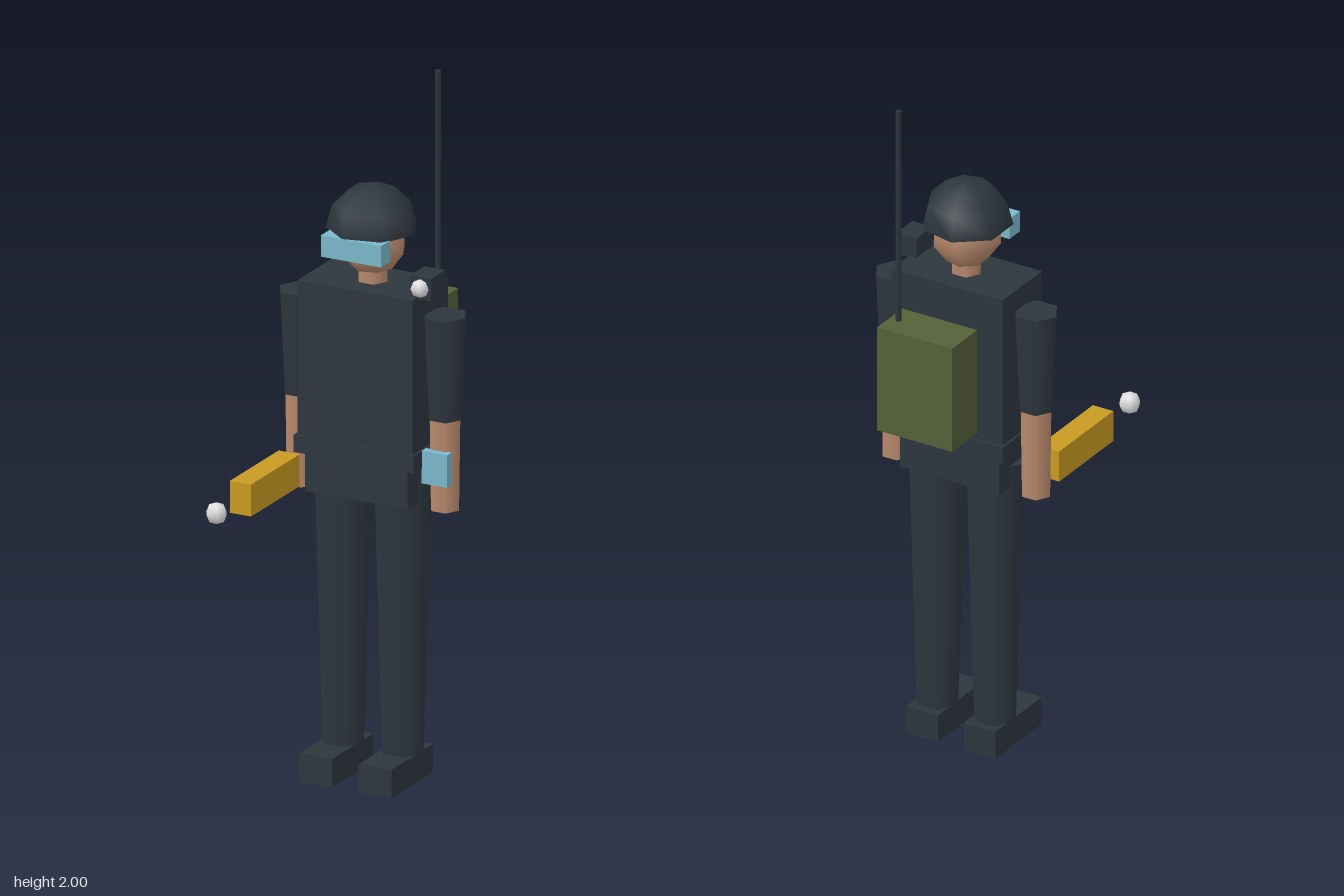
import * as THREE from 'three';

const mat = (name, color) => {
  const m = new THREE.MeshStandardMaterial();
  m.name = name;
  m.color.set(color);
  return m;
};

export function createModel() {
  const dark = mat('dark uniform', 0x2d363e);
  const skin = mat('skin', 0xb98a6c);
  const blue = mat('light blue', 0x7ab8cc);
  const olive = mat('olive', 0x556038);
  const yellow = mat('tool yellow', 0xc89a22);
  const pale = mat('pale lamp', 0xe0e0e2);
  const helmetShell = mat('helmet shell', 0x2d363e);
  helmetShell.side = THREE.DoubleSide; // open underneath

  const group = new THREE.Group();
  group.name = 'fieldOperator';
  const CZ = -0.124; // body axis

  const add = (name, geo, material, x, y, z, rotY = 0) => {
    const mesh = new THREE.Mesh(geo, material);
    mesh.name = name;
    mesh.position.set(x, y, z);
    mesh.rotation.y = rotY;
    group.add(mesh);
    return mesh;
  };
  // Box given by its ranges along each axis
  const box = (name, material, [x0, x1], [y0, y1], [z0, z1]) =>
    add(name, new THREE.BoxGeometry(x1 - x0, y1 - y0, z1 - z0), material,
      (x0 + x1) / 2, (y0 + y1) / 2, (z0 + z1) / 2);
  // Six-sided tapered limb with corners towards the sides
  const limb = (name, material, x, y0, y1, rBottom, rTop) =>
    add(name, new THREE.CylinderGeometry(rTop, rBottom, y1 - y0, 6), material,
      x, (y0 + y1) / 2, CZ, Math.PI / 2);
  // Low-poly ball with a corner towards +x
  const ball = (name, material, r, sides, rings, x, y, z) =>
    add(name, new THREE.SphereGeometry(r, sides, rings), material, x, y, z, Math.PI);

  // Legs, boots and arms
  for (const [side, s] of [['left', 1], ['right', -1]]) {
    const bx = s * 0.093;
    box(side + 'Boot', dark, [bx - 0.051, bx + 0.051], [0, 0.083], [-0.205, 0.036]);
    limb(side + 'Leg', dark, bx, 0.08, 0.89, 0.065, 0.09);
    limb(side + 'UpperArm', dark, s * 0.225, 1.075, 1.375, 0.05, 0.065);
    limb(side + 'Forearm', skin, s * 0.225, 0.81, 1.08, 0.044, 0.048);
  }

  // Torso
  box('hips', dark, [-0.16, 0.16], [0.825, 0.96], [-0.212, -0.028]);
  box('belt', dark, [-0.187, 0.187], [0.94, 0.99], [-0.235, -0.012]);
  box('torso', dark, [-0.179, 0.179], [0.96, 1.44], [-0.226, -0.02]);

  // Head, goggles and helmet
  limb('neck', skin, 0, 1.42, 1.5, 0.045, 0.045);
  ball('head', skin, 0.1, 7, 5, 0, 1.56, CZ);
  box('goggles', blue, [-0.094, 0.094], [1.53, 1.592], [-0.052, 0.003]);
  add('helmet', new THREE.SphereGeometry(0.13, 7, 3, 0, Math.PI * 2, 0, Math.PI / 2),
    helmetShell, 0, 1.59, CZ, Math.PI);

  // Shoulder lamp
  box('shoulderLampBody', dark, [0.154, 0.219], [1.435, 1.5], [-0.137, -0.053]);
  ball('shoulderLampLens', pale, 0.027, 5, 4, 0.187, 1.468, -0.05);

  // Wrist screen
  box('wristScreen', blue, [0.185, 0.265], [0.895, 0.99], [-0.09, -0.063]);

  // Hand tool with the ball floating ahead of it
  box('handTool', yellow, [-0.258, -0.192], [0.825, 0.918], [-0.057, 0.225]);
  ball('toolBall', pale, 0.032, 6, 4, -0.225, 0.873, 0.364);

  // Backpack radio and antenna
  box('backpack', olive, [-0.121, 0.121], [1.03, 1.35], [-0.394, -0.264]);
  add('antenna', new THREE.CylinderGeometry(0.01, 0.01, 0.66, 4), dark, 0.093, 1.67, -0.329);

  return group;
}
